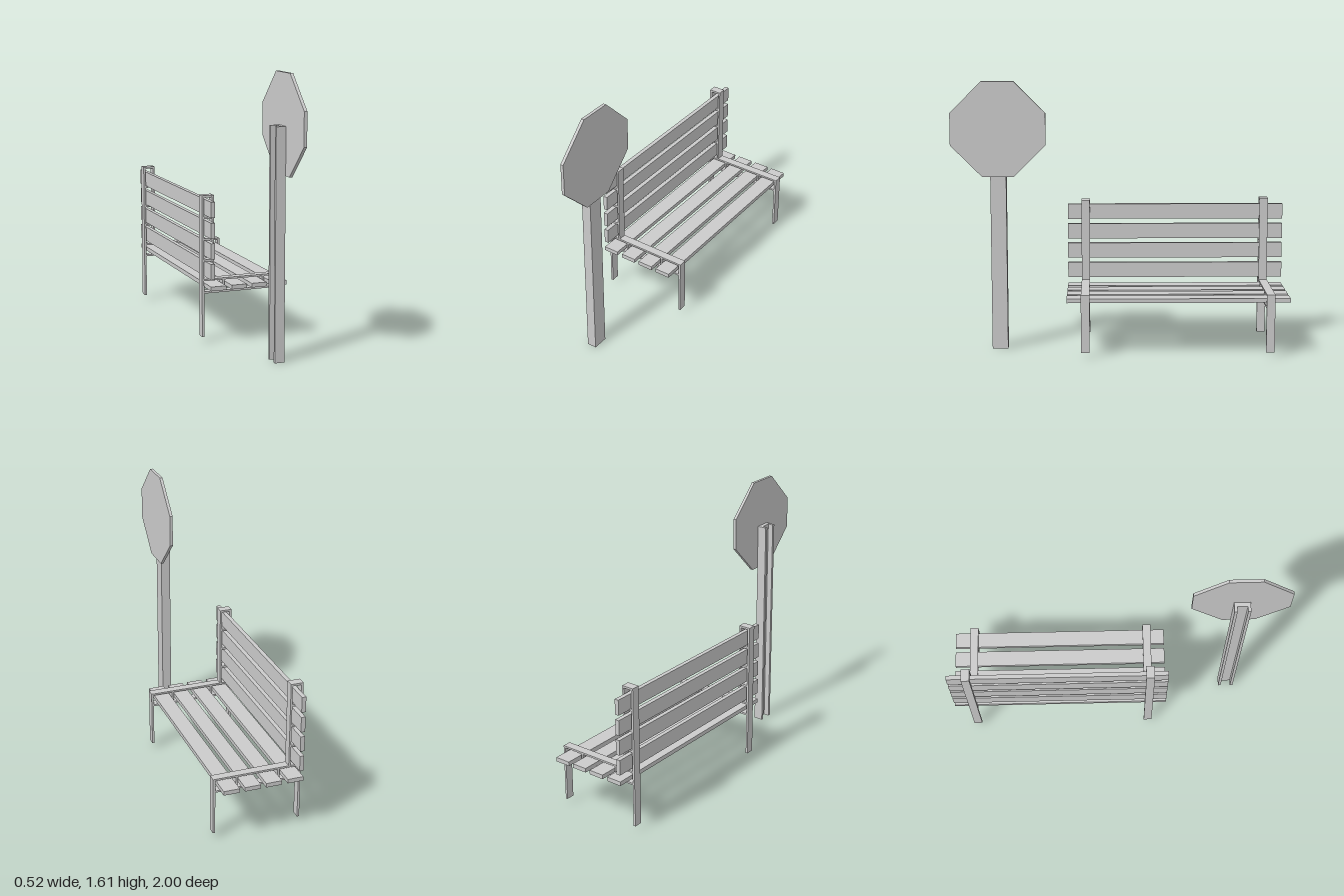
import * as THREE from 'three';

const material = new THREE.MeshStandardMaterial({ color: 0xcccccc, flatShading: true });

// Box given by its extents on each axis
function box(parent, name, [x0, x1], [y0, y1], [z0, z1]) {
  const mesh = new THREE.Mesh(new THREE.BoxGeometry(x1 - x0, y1 - y0, z1 - z0), material);
  mesh.position.set((x0 + x1) / 2, (y0 + y1) / 2, (z0 + z1) / 2);
  mesh.name = name;
  parent.add(mesh);
}

// Flat-bar end frame: legs, seat rails, spacers and backrest uprights
function endFrame(name, z, lift) {
  const g = new THREE.Group();
  g.name = name;
  const w = [z - 0.025, z + 0.025];
  const top = 0.872 + lift;
  box(g, 'rearUpright', [-0.264, -0.251], [0.034, top], w);
  box(g, 'frontLeg', [0.246, 0.259], [0.034, 0.369], w);
  box(g, 'seatTopRail', [-0.251, 0.259], [0.368, 0.379], w);
  box(g, 'seatBottomRail', [-0.251, 0.246], [0.294, 0.305], w);
  for (const x of [-0.13, 0.12]) box(g, 'seatSpacer', [x - 0.006, x + 0.006], [0.305, 0.368], w);
  box(g, 'backUpright', [-0.201, -0.19], [0.379, top - 0.012], w);
  box(g, 'backCap', [-0.264, -0.19], [top - 0.012, top], w);
  for (const y of [0.741, 0.614, 0.489]) {
    box(g, 'backSpacer', [-0.251, -0.201], [y + lift - 0.006, y + lift + 0.006], w);
  }
  return g;
}

export function createModel() {
  const model = new THREE.Group();

  // Bench
  const bench = new THREE.Group();
  bench.name = 'bench';
  const length = [-1, 0.315];
  for (const x of [-0.193, -0.065, 0.06, 0.185]) {
    box(bench, 'seatSlat', [x - 0.047, x + 0.047], [0.326, 0.351], length);
  }
  for (const y of [0.437, 0.559, 0.679, 0.801]) {
    box(bench, 'backSlat', [-0.24, -0.215], [y - 0.046, y + 0.046], length);
  }
  bench.add(endFrame('nearFrame', 0.206, 0), endFrame('farFrame', -0.882, 0.013));
  model.add(bench);

  // Sign post: U-channel open towards -x
  const sign = new THREE.Group();
  sign.name = 'sign';
  const channel = new THREE.Shape([
    [-0.033, 0.047], [0.024, 0.047], [0.024, -0.047], [-0.033, -0.047],
    [-0.033, -0.03], [0, -0.03], [0, 0.03], [-0.033, 0.03],
  ].map(([x, z]) => new THREE.Vector2(x, z)));
  const postGeometry = new THREE.ExtrudeGeometry(channel, { depth: 1.32, bevelEnabled: false });
  postGeometry.rotateX(-Math.PI / 2);
  const post = new THREE.Mesh(postGeometry, material);
  post.name = 'post';
  post.position.z = 0.72;
  sign.add(post);

  // Octagonal plate facing +x
  const r = 0.281, c = 0.095;
  const octagon = new THREE.Shape([
    [r, -c], [r, c], [c, r], [-c, r], [-r, c], [-r, -c], [-c, -r], [c, -r],
  ].map(([u, v]) => new THREE.Vector2(u, v)));
  const plateGeometry = new THREE.ExtrudeGeometry(octagon, { depth: 0.018, bevelEnabled: false });
  plateGeometry.rotateY(Math.PI / 2);
  const plate = new THREE.Mesh(plateGeometry, material);
  plate.name = 'signPlate';
  plate.position.set(0.025, 1.329, 0.719);
  sign.add(plate);
  model.add(sign);

  return model;
}
